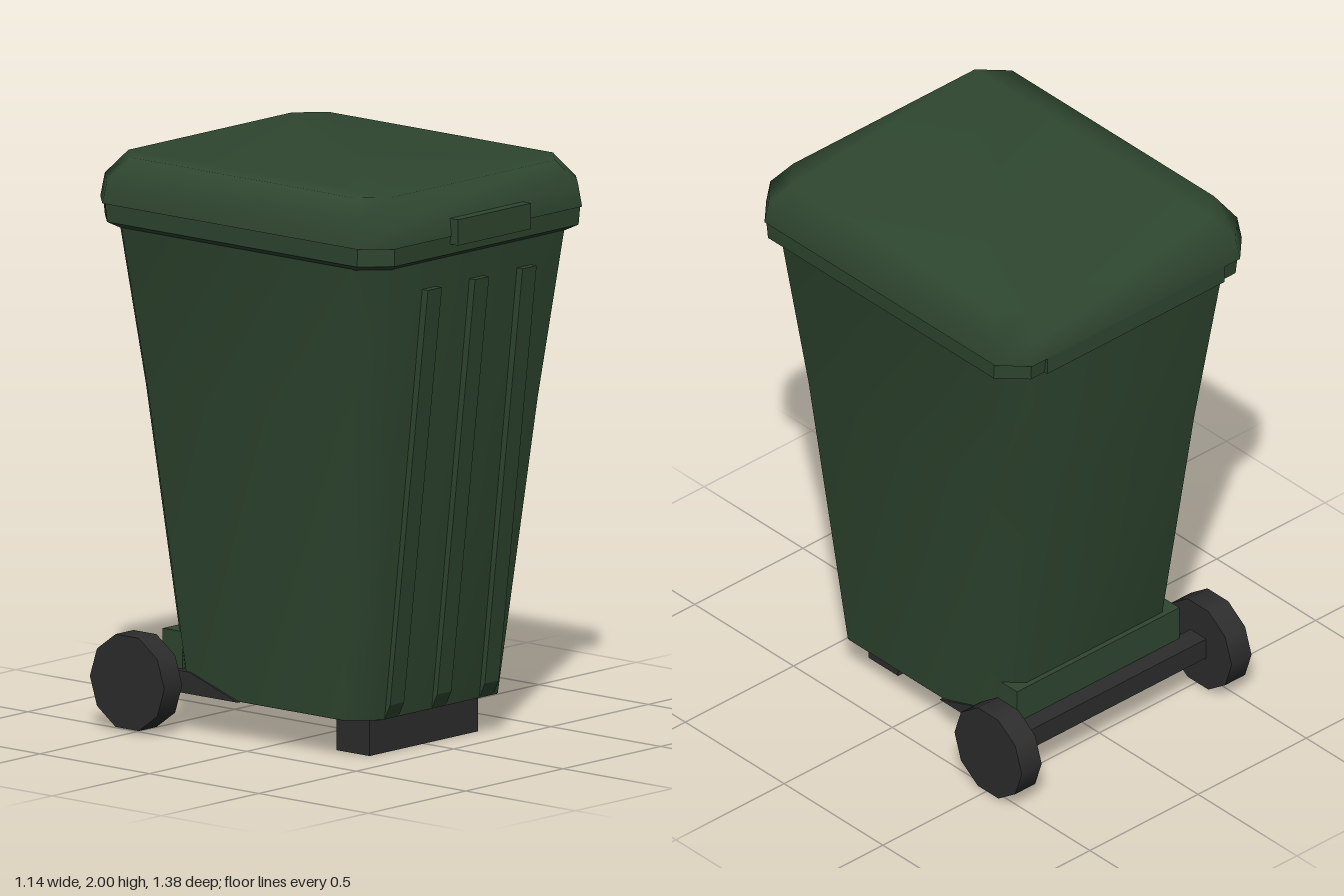
import * as THREE from 'three';

export function createModel() {
  const model = new THREE.Group();
  const green = new THREE.MeshStandardMaterial({ color: 0x2f4730 });
  green.name = 'binGreen';
  const dark = new THREE.MeshStandardMaterial({ color: 0x2d2d2d });
  dark.name = 'darkRubber';

  const add = (name, geometry, material, x = 0, y = 0, z = 0) => {
    const mesh = new THREE.Mesh(geometry, material);
    mesh.name = name;
    mesh.position.set(x, y, z);
    model.add(mesh);
    return mesh;
  };

  // Box given by its extents
  const block = (name, material, x0, x1, y0, y1, z0, z1) =>
    add(name, new THREE.BoxGeometry(x1 - x0, y1 - y0, z1 - z0), material,
      (x0 + x1) / 2, (y0 + y1) / 2, (z0 + z1) / 2);

  // Smooth loft through chamfered rectangles: [y, halfWidth, front z, back z, chamfer]
  const loft = (rings, capTop, capBottom) => {
    const pos = [], idx = [], n = 8;
    for (const [y, w, f, b, c] of rings) {
      const loop = [[-w + c, f], [w - c, f], [w, f - c], [w, b + c],
        [w - c, b], [-w + c, b], [-w, b + c], [-w, f - c]];
      for (const [x, z] of loop) pos.push(x, y, z);
    }
    for (let r = 0; r < rings.length - 1; r++) {
      for (let i = 0; i < n; i++) {
        const a = r * n + i, b = r * n + (i + 1) % n;
        idx.push(a, b, b + n, a, b + n, a + n);
      }
    }
    const top = (rings.length - 1) * n;
    for (let i = 1; i < n - 1; i++) {
      if (capTop) idx.push(top, top + i, top + i + 1);
      if (capBottom) idx.push(0, i + 1, i);
    }
    const g = new THREE.BufferGeometry();
    g.setAttribute('position', new THREE.Float32BufferAttribute(pos, 3));
    g.setIndex(idx);
    g.computeVertexNormals();
    return g;
  };

  // Side profile of [z, y] points extruded across x
  const prism = (profile, width) => {
    const shape = new THREE.Shape(profile.map(([z, y]) => new THREE.Vector2(-z, y)));
    const g = new THREE.ExtrudeGeometry(shape, { depth: width, bevelEnabled: false });
    g.translate(0, 0, -width / 2);
    g.rotateY(Math.PI / 2);
    return g;
  };

  // Tapered body and its dark underside
  add('body', loft([
    [0.14, 0.39, 0.435, -0.452, 0.09],
    [1.18, 0.468, 0.553, -0.573, 0.095],
    [1.77, 0.537, 0.619, -0.642, 0.1],
  ]), green);
  add('basePlate', loft([
    [0.137, 0.388, 0.433, -0.45, 0.09],
    [0.142, 0.388, 0.433, -0.45, 0.09],
  ], true, true).toNonIndexed(), dark).geometry.computeVertexNormals();

  // Rim collar
  const rim = loft([
    [1.753, 0.53, 0.61, -0.635, 0.09],
    [1.775, 0.563, 0.65, -0.672, 0.09],
    [1.84, 0.566, 0.655, -0.678, 0.09],
  ], false, true).toNonIndexed();
  rim.computeVertexNormals();
  add('rim', rim, green);

  // Domed lid with softly shaded edges
  add('lid', loft([
    [1.838, 0.57, 0.66, -0.687, 0.09],
    [1.92, 0.56, 0.65, -0.675, 0.09],
    [2.0, 0.51, 0.59, -0.612, 0.09],
  ], true, false), green);
  block('lidHandle', green, -0.19, 0.185, 1.81, 1.9, 0.6, 0.69);
  block('hingeBar', green, -0.41, 0.41, 1.775, 1.84, -0.686, -0.62);

  // Three raised ribs on the front
  for (const x of [-0.245, -0.003, 0.241]) {
    add('frontRib', prism([
      [0.42, 0.14], [0.436, 0.14], [0.46, 0.19], [0.633, 1.66], [0.59, 1.66],
    ], 0.072), green, x);
  }

  // Front foot
  block('frontFoot', dark, -0.28, 0.277, 0, 0.14, 0.215, 0.365);

  // Rear chassis, bracket and axle
  add('axleSupport', prism([
    [-0.13, 0.136], [-0.35, 0.212], [-0.49, 0.212], [-0.49, 0.136],
  ], 0.8), dark);
  block('axleBracket', green, -0.375, 0.375, 0.2, 0.342, -0.495, -0.405);
  block('axle', dark, -0.45, 0.45, 0.137, 0.215, -0.56, -0.48);

  // Ten-sided wheels
  for (const side of [-1, 1]) {
    const wheel = new THREE.CylinderGeometry(0.17, 0.17, 0.092, 10);
    wheel.rotateY(Math.PI / 10 * 2);
    wheel.rotateZ(Math.PI / 2);
    add(side > 0 ? 'leftWheel' : 'rightWheel', wheel, dark, side * 0.485, 0.173, -0.519);
  }

  return model;
}
